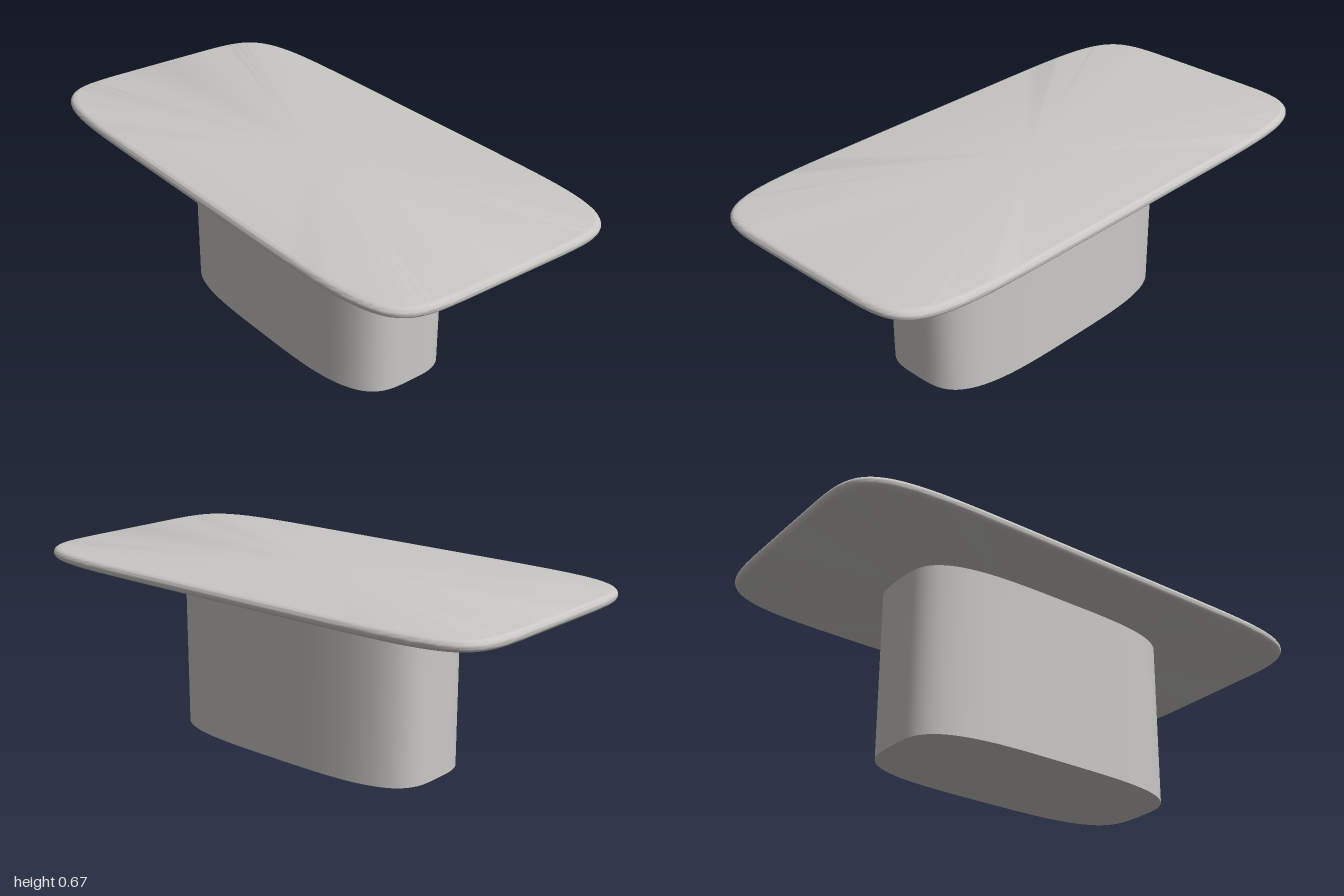
import * as THREE from 'three';
import { toCreasedNormals } from 'three/addons/utils/BufferGeometryUtils.js';

const SEGMENTS = 128;

// Point on a superellipse with half sizes a (x) and b (z)
function outline(a, b, n, t) {
  const c = Math.cos(t), s = Math.sin(t);
  return [
    a * Math.sign(c) * Math.abs(c) ** (2 / n),
    b * Math.sign(s) * Math.abs(s) ** (2 / n),
  ];
}

// Closed solid lofted upward through superellipse rings, given as [y, inset]
function loft(a, b, n, rings) {
  const positions = [], index = [];
  for (const [y, inset] of rings) {
    for (let i = 0; i < SEGMENTS; i++) {
      const [x, z] = outline(a - inset, b - inset, n, (i / SEGMENTS) * Math.PI * 2);
      positions.push(x, y, z);
    }
  }
  const last = (rings.length - 1) * SEGMENTS;
  const bottom = positions.length / 3, top = bottom + 1;
  positions.push(0, rings[0][0], 0, 0, rings[rings.length - 1][0], 0);
  for (let i = 0; i < SEGMENTS; i++) {
    const j = (i + 1) % SEGMENTS;
    for (let r = 0; r < last; r += SEGMENTS) {
      index.push(r + i, r + SEGMENTS + i, r + j);
      index.push(r + j, r + SEGMENTS + i, r + SEGMENTS + j);
    }
    index.push(bottom, i, j, top, last + j, last + i);
  }
  const geometry = new THREE.BufferGeometry();
  geometry.setAttribute('position', new THREE.Float32BufferAttribute(positions, 3));
  geometry.setIndex(index);
  return toCreasedNormals(geometry, 0.7);
}

export function createModel() {
  const group = new THREE.Group();
  group.name = 'table';
  const stone = new THREE.MeshStandardMaterial({ color: 0xcac8c5 });
  stone.name = 'warm grey';

  // Pedestal: straight-sided soft oval column
  const pedestal = new THREE.Mesh(loft(0.553, 0.238, 3.5, [[0, 0], [0.63, 0]]), stone);
  pedestal.name = 'pedestal';
  pedestal.position.set(0.007, 0, 0.004);

  // Tabletop: thin soft rectangle with a half-round rim
  const radius = 0.02, steps = 10, rim = [];
  for (let i = 0; i <= steps; i++) {
    const angle = -Math.PI / 2 + (i / steps) * Math.PI;
    rim.push([0.648 + radius * Math.sin(angle), radius * (1 - Math.cos(angle))]);
  }
  const tabletop = new THREE.Mesh(loft(1, 0.505, 7, rim), stone);
  tabletop.name = 'tabletop';

  group.add(pedestal, tabletop);
  return group;
}
